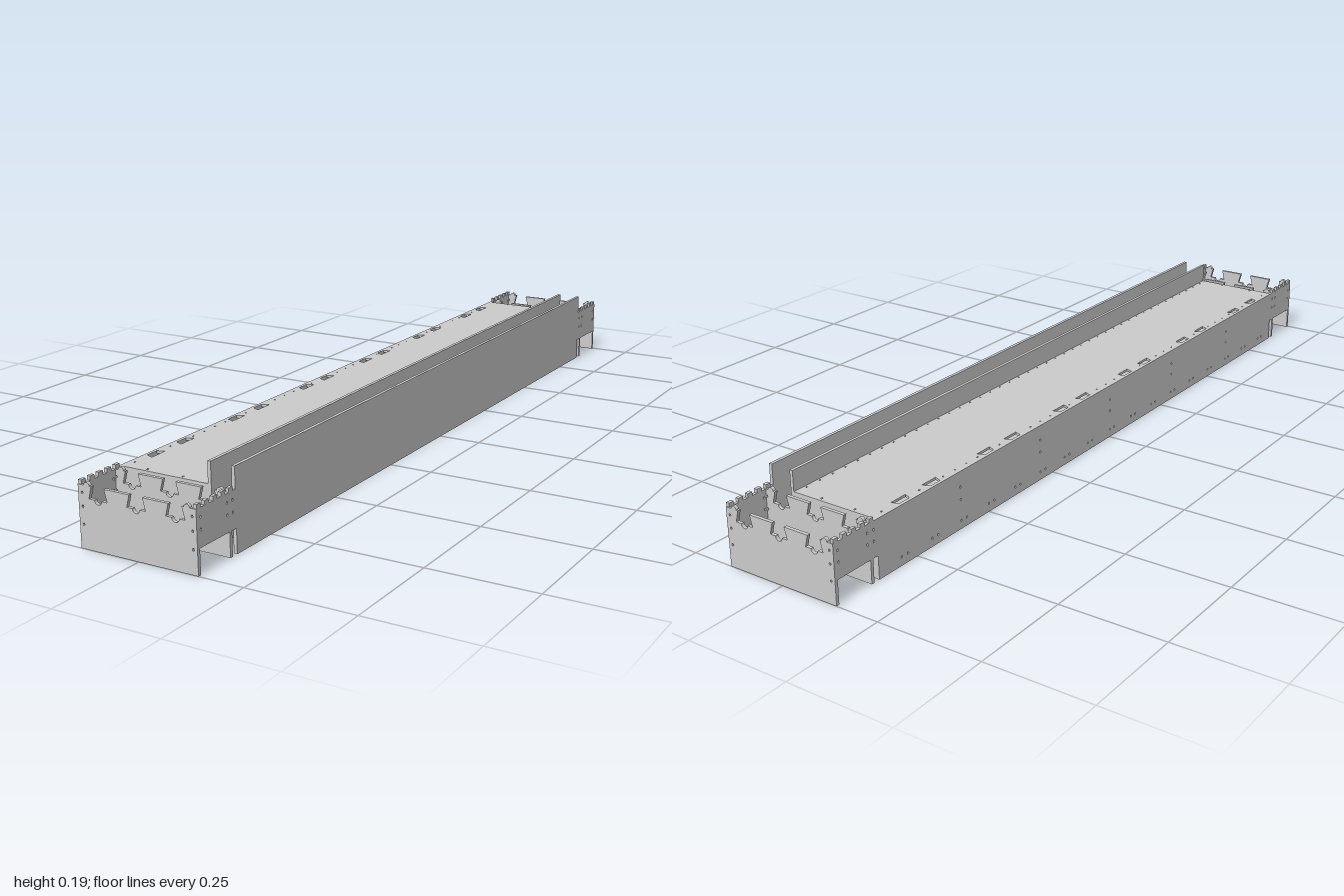
import * as THREE from 'three';

const T = 0.008; // sheet thickness
const material = new THREE.MeshStandardMaterial({ color: 0xcccccc, flatShading: true, side: THREE.DoubleSide });

function outline(points) {
  return new THREE.Shape(points.map(([x, y]) => new THREE.Vector2(x, y)));
}

function addHole(shape, x, y, r = 0.0025) {
  const c = [];
  for (let i = 0; i < 6; i++) {
    const a = -i * Math.PI / 3;
    c.push(new THREE.Vector2(x + r * Math.cos(a), y + r * 1.3 * Math.sin(a)));
  }
  shape.holes.push(new THREE.Path(c));
}

function sheet(name, shape, depth = T) {
  const geometry = new THREE.ExtrudeGeometry(shape, { depth, bevelEnabled: false, curveSegments: 6 });
  const mesh = new THREE.Mesh(geometry, material);
  mesh.name = name;
  return mesh;
}

// Sheet drawn in (z, y) whose outer +x face lies at x
function sideSheet(name, shape, x) {
  const mesh = sheet(name, shape);
  mesh.geometry.rotateY(-Math.PI / 2).translate(x, 0, 0);
  return mesh;
}

// Sheet drawn in (x, z) whose top face lies at y
function flatSheet(name, shape, y) {
  const mesh = sheet(name, shape, 0.006);
  mesh.geometry.rotateX(Math.PI / 2).translate(0, y, 0);
  return mesh;
}

// Cross plate with dovetail notches, finger scoops and small bumps on top
function crossPlateShape() {
  const s = new THREE.Shape();
  s.moveTo(-0.145, 0);
  s.lineTo(0.145, 0);
  s.lineTo(0.145, 0.137);
  s.lineTo(0.13, 0.137);
  s.absarc(0.123, 0.137, 0.007, 0, Math.PI, false);
  for (const c of [0.095, 0, -0.095]) {
    s.lineTo(c + 0.016, 0.137);
    s.lineTo(c + 0.023, 0.11);
    s.lineTo(c + 0.009, 0.11);
    s.absarc(c, 0.11, 0.009, 0, Math.PI, true);
    s.lineTo(c - 0.023, 0.11);
    s.lineTo(c - 0.016, 0.137);
  }
  s.lineTo(-0.116, 0.137);
  s.absarc(-0.123, 0.137, 0.007, 0, Math.PI, false);
  s.lineTo(-0.145, 0.137);
  for (const x of [-0.135, 0.135]) for (const y of [0.053, 0.091, 0.121]) addHole(s, x, y);
  return s;
}

// Long side wall: deep middle, raised ears with castellated tops at both ends
function sideWallShape(midTop) {
  const half = [[0.872, 0], [0.872, 0.055], [0.998, 0.055]];
  for (let i = 0; i < 5; i++) {
    const z = 0.998 - i * 0.026;
    half.push([z, 0.146], [z - 0.013, 0.146], [z - 0.013, 0.137], [Math.max(z - 0.026, 0.873), 0.137]);
  }
  half.push([0.872, midTop]);
  const mirrored = half.map(([z, y]) => [-z, y]).reverse();
  const s = outline([...half, ...mirrored]);
  for (const side of [-1, 1]) {
    for (const z of [0.882, 0.901, 0.987]) for (const y of [0.092, 0.118]) addHole(s, side * z, y);
  }
  return s;
}

export function createModel() {
  const model = new THREE.Group();
  model.name = 'sheetMetalTray';

  // Outer and inner cross plates at both ends
  for (const [name, z] of [['frontEndPlate', 1 - T], ['frontInnerPlate', 0.887],
    ['backInnerPlate', -0.887 - T], ['backEndPlate', -1]]) {
    const plate = sheet(name, crossPlateShape());
    plate.position.z = z;
    model.add(plate);
  }

  // Tall wall on the left
  model.add(sideSheet('tallSideWall', sideWallShape(0.185), 0.145));

  // Low wall on the right, with groups of fixing holes
  const low = sideWallShape(0.137);
  for (let i = -8; i <= 8; i++) {
    addHole(low, i * 0.1, 0.02);
    addHole(low, i * 0.1 + 0.02, 0.02);
    if (i % 3 === 0) for (const y of [0.07, 0.1]) addHole(low, i * 0.1, y);
  }
  model.add(sideSheet('lowSideWall', low, -0.145 + T));

  // Tall inner wall with rows of holes near its foot
  const inner = outline([[-0.872, 0], [0.872, 0], [0.872, 0.185], [-0.872, 0.185]]);
  for (let i = -21; i <= 21; i++) {
    addHole(inner, i * 0.04, 0.018);
    if (i % 2 === 0) addHole(inner, i * 0.04, 0.036);
  }
  model.add(sideSheet('tallInnerWall', inner, 0.087));

  // Deck with dovetail cutouts along its right edge
  const deck = [[0.079, -0.872], [0.079, 0.872], [-0.137, 0.872]];
  const cutouts = [0.775, 0.675, 0.485, 0.385, 0.19, 0.095];
  const centres = [...cutouts, ...cutouts.map((z) => -z).reverse()];
  for (const z of centres) {
    deck.push([-0.137, z + 0.016], [-0.12, z + 0.023], [-0.12, z - 0.023], [-0.137, z - 0.016]);
  }
  deck.push([-0.137, -0.872]);
  const deckShape = outline(deck);
  for (let i = -21; i <= 21; i++) {
    const z = i * 0.04;
    addHole(deckShape, 0.073, z, 0.002);
    if (centres.every((c) => Math.abs(c - z) > 0.028)) addHole(deckShape, -0.131, z, 0.002);
  }
  for (const x of [-0.08, 0.01]) for (const z of [-0.862, 0.862]) addHole(deckShape, x, z);
  model.add(flatSheet('deck', deckShape, 0.137));

  // Recessed underside panel
  const base = outline([[-0.137, -0.872], [0.079, -0.872], [0.079, 0.872], [-0.137, 0.872]]);
  model.add(flatSheet('undersidePanel', base, 0.024));

  // End walls closing the box below the deck
  for (const [name, z] of [['frontBoxEnd', 0.872 - T], ['backBoxEnd', -0.872]]) {
    const end = sheet(name, outline([[-0.137, 0], [0.079, 0], [0.079, 0.131], [-0.137, 0.131]]));
    end.position.z = z;
    model.add(end);
  }
  return model;
}
